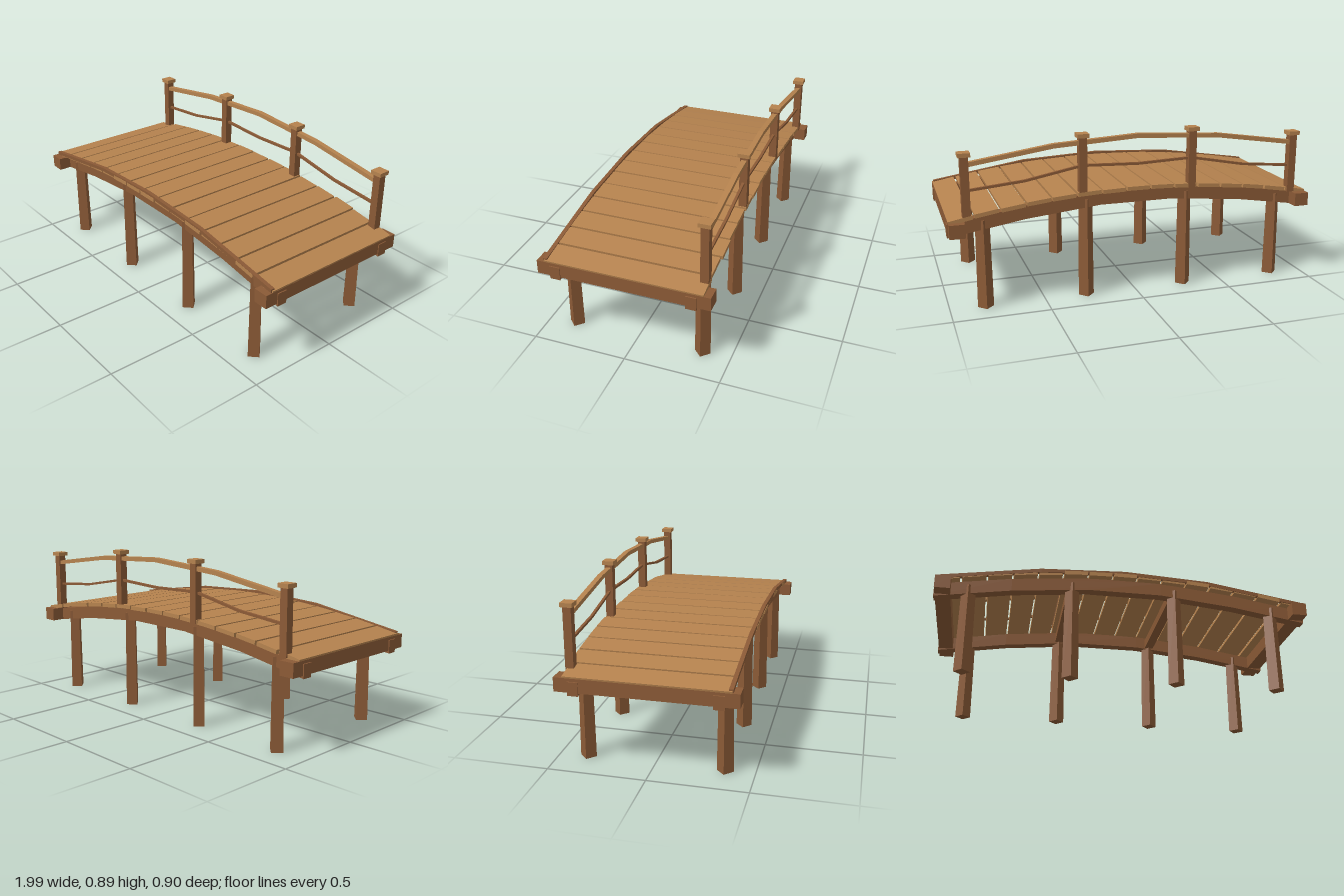
import * as THREE from 'three';

const lightWood = new THREE.MeshStandardMaterial({ name: 'lightWood', color: 0xb5824e });
const darkWood = new THREE.MeshStandardMaterial({ name: 'darkWood', color: 0x8b5a36 });

export function createModel() {
  const model = new THREE.Group();
  model.name = 'footbridge';

  const add = (name, geometry, material, x = 0, y = 0, z = 0) => {
    const mesh = new THREE.Mesh(geometry, material);
    mesh.name = name;
    mesh.position.set(x, y, z);
    model.add(mesh);
    return mesh;
  };
  const box = (name, material, w, h, d, x, y, z) =>
    add(name, new THREE.BoxGeometry(w, h, d), material, x, y, z);

  // Bent bar along x: half is the right half of its underside, mirrored to the left
  const bentBar = (name, material, half, height, depth, z) => {
    const left = half.filter(([x]) => x > 0).map(([x, y]) => [-x, y]).reverse();
    const line = [...left, ...half];
    const outline = [...line, ...line.map(([x, y]) => [x, y + height]).reverse()];
    const shape = new THREE.Shape(outline.map(([x, y]) => new THREE.Vector2(x, y)));
    const geometry = new THREE.ExtrudeGeometry(shape, { depth, bevelEnabled: false });
    return add(name, geometry, material, 0, 0, z - depth / 2);
  };

  let seed = 7;
  const jitter = (amount) => {
    seed = (seed * 16807) % 2147483647;
    return (seed / 2147483647 - 0.5) * 2 * amount;
  };

  // Deck planks following the arch
  for (let i = -7; i <= 7; i++) {
    const x = i * 0.1327;
    const plank = box('plank', lightWood, 0.123, 0.021, 0.822 + jitter(0.007),
      x, 0.582 - 0.103 * x * x, jitter(0.004));
    plank.rotation.set(jitter(0.003), jitter(0.003), Math.atan(-0.206 * x));
  }

  // Stringers, legs and end beams
  for (const z of [-0.351, 0.351]) {
    bentBar('stringer', darkWood, [[0.2, 0.5], [0.6, 0.46], [0.995, 0.397]], 0.07, 0.054, z);
    for (const [x, top] of [[-0.82, 0.475], [-0.28, 0.535], [0.275, 0.535], [0.815, 0.475]]) {
      const leg = new THREE.CylinderGeometry(0.037, 0.042, top, 4).toNonIndexed();
      leg.computeVertexNormals();
      add('leg', leg, darkWood, x, top / 2, z);
    }
  }
  for (const side of [-1, 1]) {
    box('endBeam', darkWood, 0.08, 0.072, 0.896, side * 0.95, 0.447, 0);
    box('crossBrace', darkWood, 0.05, 0.05, 0.7, side * 0.278, 0.525, 0);
  }

  // Low kerb along the front edge
  bentBar('kerb', darkWood, [[0, 0.587], [0.45, 0.565], [0.985, 0.481]], 0.02, 0.021, 0.404);

  // Railing along the back edge
  for (const side of [-1, 1]) {
    for (const [x, base, top] of [[0.897, 0.488, 0.81], [0.3, 0.56, 0.868]]) {
      box('railPost', darkWood, 0.042, top - base, 0.042, side * x, (top + base) / 2, -0.391);
      box('postCap', lightWood, 0.062, 0.021, 0.062, side * x, top + 0.0105, -0.391);
    }
  }
  bentBar('topRail', lightWood, [[0, 0.848], [0.45, 0.822], [0.89, 0.757]], 0.023, 0.028, -0.391);
  bentBar('lowerRail', darkWood,
    [[0, 0.704], [0.3, 0.715], [0.6, 0.658], [0.89, 0.631]], 0.013, 0.014, -0.391);

  return model;
}
